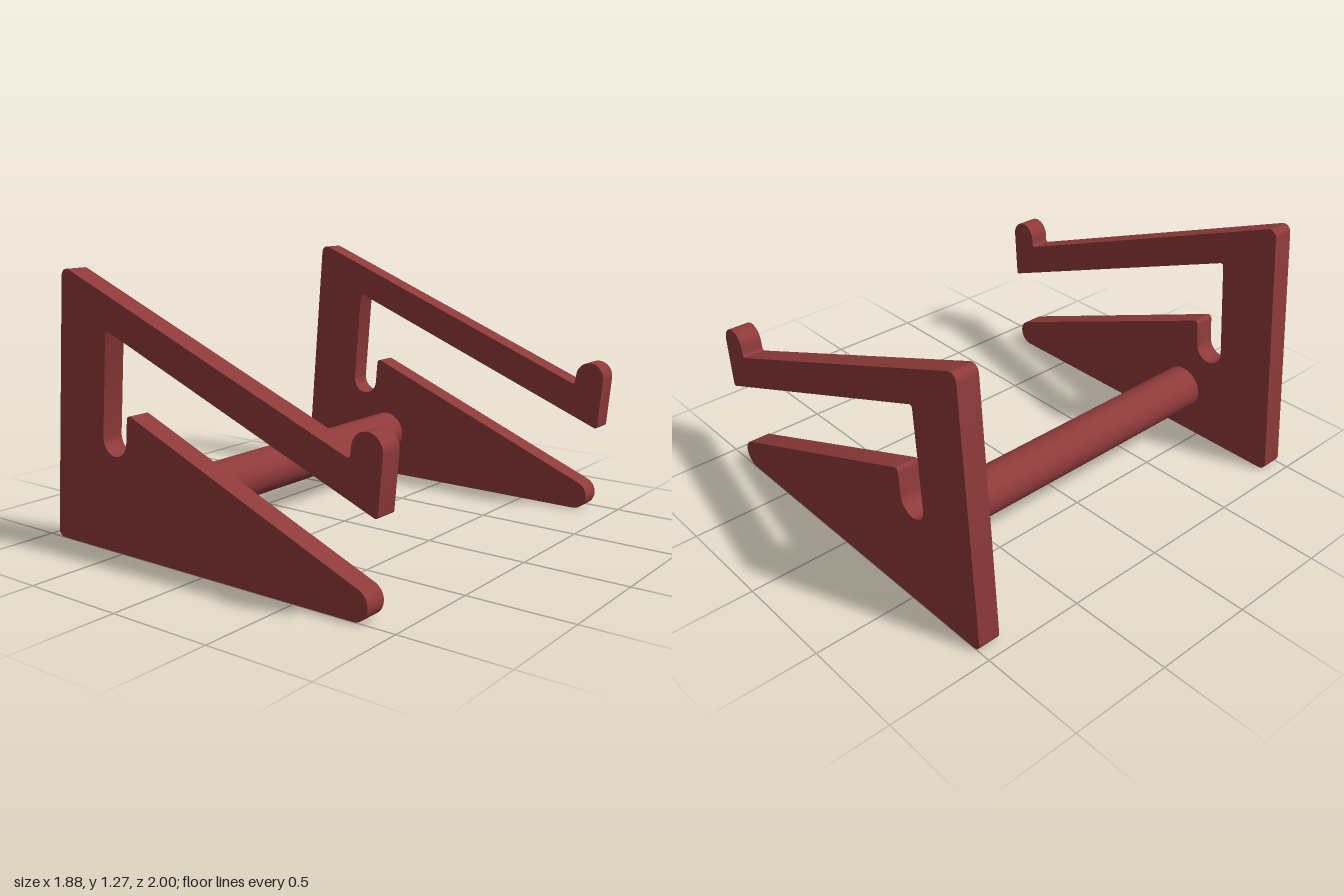
import * as THREE from 'three';
import { toCreasedNormals } from 'three/addons/utils/BufferGeometryUtils.js';

const THICK = 0.108;   // side panel thickness
const TILT = 0.0824;   // backward lean of the upright edges, in radians

// Rounds the corner at p, trimming d along the edges towards a and b.
function roundCorner(shape, a, p, b, d) {
  const P = new THREE.Vector2(...p);
  const towards = (q, t) => new THREE.Vector2(...q).sub(P).setLength(t).add(P);
  const s = towards(a, d), e = towards(b, d);
  const c1 = towards(a, d * 0.45), c2 = towards(b, d * 0.45);
  shape.lineTo(s.x, s.y);
  shape.bezierCurveTo(c1.x, c1.y, c2.x, c2.y, e.x, e.y);
}

function panelShape() {
  const foot = [-0.943, 0], top = [-0.832, 1.289], notch = [0.784, 0.643];
  const lip = [0.79, 0.69], lipOuter = [0.935, 0.68], tip = [0.913, 0.428];
  const armInner = [-0.558, 1.019], slot = [-0.6, 0.53];
  const slotOuter = [-0.45, 0.52], ledge = [-0.438, 0.655], nose = [0.826, 0.142];

  const s = new THREE.Shape();
  s.moveTo(0.798, 0);
  roundCorner(s, [0.798, 0], foot, top, 0.038);
  roundCorner(s, foot, top, notch, 0.05);
  // Raised lip at the end of the sloping arm
  roundCorner(s, top, notch, lip, 0.018);
  s.absarc(0.863, 0.687, 0.073, Math.PI - TILT, -TILT, true);
  roundCorner(s, lipOuter, tip, armInner, 0.015);
  // Slot between the arm and the base
  roundCorner(s, tip, armInner, slot, 0.018);
  s.absarc(-0.525, 0.525, 0.075, Math.PI - TILT, 2 * Math.PI - TILT, false);
  roundCorner(s, slotOuter, ledge, nose, 0.025);
  // Rounded front toe
  s.absarc(0.798, 0.071, 0.071, 1.19, -Math.PI / 2, true);
  return s;
}

export function createModel() {
  const model = new THREE.Group();
  model.name = 'stand';
  const red = new THREE.MeshStandardMaterial({ color: 0x8f3a3a });
  red.name = 'dark red';

  // Two identical side panels
  const panel = toCreasedNormals(new THREE.ExtrudeGeometry(panelShape(), {
    depth: THICK, bevelEnabled: false, curveSegments: 20,
  }), 0.5);
  for (const [name, z] of [['frontPanel', 1 - THICK], ['backPanel', -1]]) {
    const mesh = new THREE.Mesh(panel, red);
    mesh.name = name;
    mesh.position.z = z;
    model.add(mesh);
  }

  // Round rod joining the panels
  const rod = new THREE.Mesh(
    new THREE.CylinderGeometry(0.11, 0.11, 2 - 2 * THICK, 48, 1, true), red);
  rod.name = 'crossRod';
  rod.rotation.x = Math.PI / 2;
  rod.position.set(-0.375, 0.238, 0);
  model.add(rod);

  return model;
}
